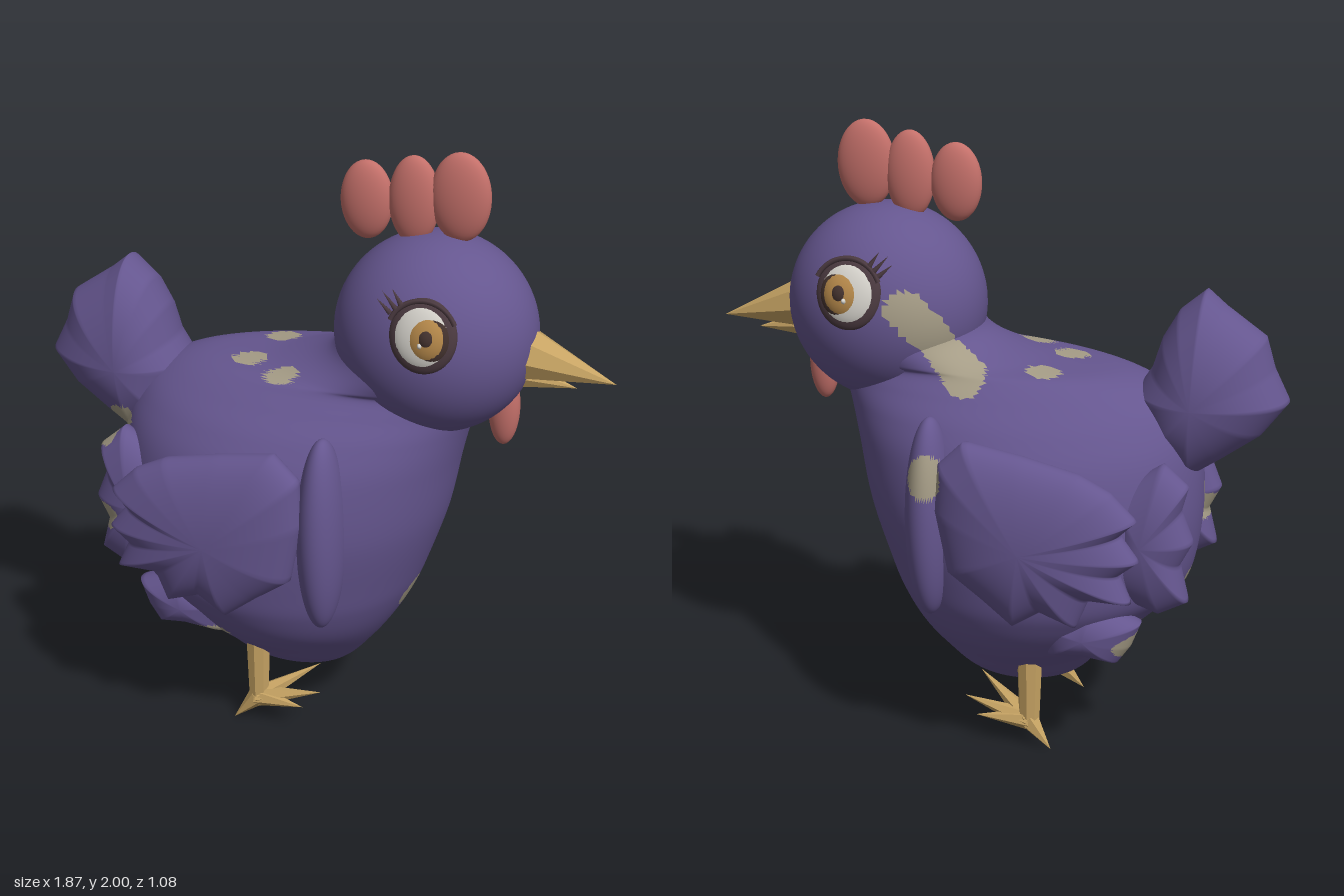
import * as THREE from 'three';

const mat = (name, color) => Object.assign(new THREE.MeshStandardMaterial({ color }), { name });
const V = (x, y, z) => new THREE.Vector3(x, y, z);

// Closed-around surface: u wraps, v runs from one end to the other
function grid(nu, nv, fn) {
  const pos = [], idx = [];
  for (let j = 0; j <= nv; j++) for (let i = 0; i < nu; i++) pos.push(...fn(i / nu, j / nv));
  for (let j = 0; j < nv; j++) for (let i = 0; i < nu; i++) {
    const a = j * nu + i, b = j * nu + (i + 1) % nu;
    idx.push(a, a + nu, b, b, a + nu, b + nu);
  }
  const g = new THREE.BufferGeometry();
  g.setAttribute('position', new THREE.Float32BufferAttribute(pos, 3));
  g.setIndex(idx);
  g.computeVertexNormals();
  return g;
}

// Rounded cushion inside an outline of x, y points (counterclockwise)
function pillow(outline, cx, cy, z, front, back) {
  const n = outline.length;
  return grid(n * 10, 40, (u, v) => {
    const t = u * n, k = Math.floor(t + 1e-6), f = t - k;
    const [p, q] = [outline[k % n], outline[(k + 1) % n]];
    const r = Math.sin(Math.PI * v), c = Math.cos(Math.PI * v);
    const x = p[0] + (q[0] - p[0]) * f, y = p[1] + (q[1] - p[1]) * f;
    return [cx + (x - cx) * r, cy + (y - cy) * r, z + c * (c > 0 ? front : back)];
  });
}

const ellipsoid = (x, y, z, rx, ry, rz, seg = 32) =>
  new THREE.SphereGeometry(1, seg, seg * 0.75).scale(rx, ry, rz).translate(x, y, z);

// Copy a geometry to the other side, keeping faces outward
function mirrorZ(g) {
  const m = g.clone();
  for (const k of ['position', 'normal']) {
    const a = m.attributes[k];
    for (let i = 0; i < a.count; i++) a.setZ(i, -a.getZ(i));
  }
  const ix = m.index.array;
  for (let i = 0; i < ix.length; i += 3) [ix[i], ix[i + 1]] = [ix[i + 1], ix[i]];
  return m;
}

// Pale plumage spots: centre, then reach in x, y, z
const spots = [
  [-0.19, 1.25, -0.13, 0.055, 0.15, 0.05], [-0.23, 1.25, 0.07, 0.055, 0.15, 0.05],
  [-0.09, 1.24, 0.17, 0.055, 0.15, 0.05], [0.1, 1.0, -0.44, 0.06, 0.07, 0.08],
  [0.33, 0.5, 0.04, 0.12, 0.055, 0.06], [-0.29, 0.385, 0.3, 0.065, 0.03, 0.2],
  [-0.64, 0.75, 0.24, 0.06, 0.06, 0.12], [-0.66, 1.01, 0.17, 0.06, 0.06, 0.12],
  [-0.66, 0.87, 0.1, 0.08, 0.04, 0.06], [-0.5, 0.45, -0.24, 0.12, 0.05, 0.1],
  [-0.62, 0.56, -0.02, 0.12, 0.06, 0.06],
];
for (let k = 0; k < 7; k++) {
  const t = k / 6;
  spots.push([0.22 - 0.19 * t, 1.47 - 0.22 * t, -0.26 + 0.05 * t, 0.06, 0.06, 0.1]);
}

// Sort triangles into plain and spotted material groups
function spotted(g) {
  const p = g.attributes.position, ix = g.index.array, plain = [], pale = [];
  for (let i = 0; i < ix.length; i += 3) {
    const tri = [ix[i], ix[i + 1], ix[i + 2]];
    const mean = f => tri.reduce((s, k) => s + p[f](k), 0) / 3;
    const x = mean('getX'), y = mean('getY'), z = mean('getZ');
    const hit = spots.some(s =>
      ((x - s[0]) / s[3]) ** 2 + ((y - s[1]) / s[4]) ** 2 + ((z - s[2]) / s[5]) ** 2 < 1);
    (hit ? pale : plain).push(...tri);
  }
  g.setIndex([...plain, ...pale]);
  g.addGroup(0, plain.length, 0);
  g.addGroup(plain.length, pale.length, 1);
  return g;
}

// Cone from a base point to a tip
function spike(a, b, r, sides) {
  const d = b.clone().sub(a), len = d.length();
  return new THREE.ConeGeometry(r, len, sides).translate(0, len / 2, 0)
    .applyQuaternion(new THREE.Quaternion().setFromUnitVectors(V(0, 1, 0), d.normalize()))
    .translate(a.x, a.y, a.z);
}

export function createModel() {
  const model = new THREE.Group();
  const plumage = mat('purple plumage', 0x65568f), pale = mat('pale spots', 0xa59c86);
  const horn = mat('beak and legs', 0xc6a363), red = mat('comb red', 0xc4706a);
  const white = mat('eye white', 0xd6d3cc), amber = mat('iris amber', 0xb5884a);
  const dark = mat('pupil brown', 0x43322e), lash = mat('lash brown', 0x4b3a40);
  horn.flatShading = true;
  const add = (name, g, m) => {
    const mesh = new THREE.Mesh(g, m);
    mesh.name = name;
    model.add(mesh);
  };
  const feathered = (name, g) => add(name, spotted(g), [plumage, pale]);
  const bothSides = (name, g, put) => {
    put(name + 'Left', g.clone());
    put(name + 'Right', mirrorZ(g));
  };

  // Body and neck: height, back x, front x, half width
  const rings = [
    [0.135, -0.1, -0.04, 0.01], [0.2, -0.28, 0.09, 0.13], [0.3, -0.38, 0.18, 0.24],
    [0.4, -0.48, 0.25, 0.34], [0.5, -0.58, 0.305, 0.4], [0.6, -0.65, 0.345, 0.43],
    [0.8, -0.68, 0.41, 0.45], [1.0, -0.67, 0.45, 0.42], [1.12, -0.63, 0.48, 0.36],
    [1.2, -0.56, 0.51, 0.29], [1.255, -0.42, 0.54, 0.24], [1.28, -0.15, 0.57, 0.24],
    [1.34, 0.02, 0.6, 0.25], [1.45, 0.08, 0.62, 0.25],
  ];
  const ends = new THREE.CatmullRomCurve3(rings.map(r => V(r[1], r[0], r[2])), false, 'catmullrom', 0.5);
  const widths = new THREE.CatmullRomCurve3(rings.map(r => V(r[3], 0, 0)), false, 'catmullrom', 0.5);
  feathered('body', grid(128, 120, (u, v) => {
    const e = ends.getPoint(v), w = widths.getPoint(v).x, a = u * Math.PI * 2;
    return [(e.x + e.z) / 2 + Math.cos(a) * (e.z - e.x) / 2, e.y, Math.sin(a) * w];
  }));
  feathered('head', ellipsoid(0.36, 1.42, 0, 0.32, 0.32, 0.29, 80));

  // Tail
  feathered('tail', pillow([
    [-0.46, 1.2], [-0.51, 1.28], [-0.54, 1.38], [-0.59, 1.47], [-0.67, 1.54], [-0.73, 1.49],
    [-0.86, 1.4], [-0.89, 1.3], [-0.94, 1.2], [-0.86, 1.09], [-0.74, 1.0], [-0.64, 0.93], [-0.5, 1.0],
  ], -0.66, 1.2, 0, 0.18, 0.18));

  // Wings with ragged trailing feathers, shoulders and rump feathers
  bothSides('wing', pillow([
    [0.07, 0.9], [0.06, 1.05], [-0.02, 1.13], [-0.2, 1.1], [-0.38, 1.06], [-0.48, 1.01],
    [-0.56, 0.93], [-0.51, 0.88], [-0.57, 0.8], [-0.51, 0.75], [-0.55, 0.66], [-0.42, 0.66],
    [-0.38, 0.56], [-0.27, 0.6], [-0.18, 0.54], [-0.08, 0.62], [0.03, 0.7],
  ], -0.22, 0.82, 0.43, 0.11, 0.12), feathered);
  bothSides('shoulder', ellipsoid(0.11, 0.84, 0.36, 0.075, 0.33, 0.11, 64), feathered);
  bothSides('rumpFeather', pillow([
    [-0.45, 0.95], [-0.6, 1.05], [-0.68, 0.98], [-0.66, 0.9], [-0.7, 0.8], [-0.66, 0.72],
    [-0.69, 0.6], [-0.6, 0.55], [-0.45, 0.6],
  ], -0.55, 0.8, 0.24, 0.1, 0.1), feathered);
  bothSides('thighFeather', pillow([
    [-0.2, 0.5], [-0.4, 0.58], [-0.55, 0.52], [-0.52, 0.44], [-0.48, 0.38], [-0.38, 0.39], [-0.25, 0.38],
  ], -0.38, 0.47, 0.27, 0.09, 0.1), feathered);

  // Comb and wattle
  [[0.13, 1.82, 0.083, 0.125], [0.28, 1.835, 0.08, 0.14], [0.425, 1.86, 0.095, 0.14]].forEach(([x, y, rx, ry]) =>
    add('combLobe', ellipsoid(x, y, 0, rx, ry, 0.042), red));
  add('wattle', ellipsoid(0.585, 1.195, 0, 0.05, 0.13, 0.04), red);

  // Beak
  add('upperBeak', spike(V(0.64, 1.385, 0), V(0.93, 1.32, 0), 0.088, 8), horn);
  add('lowerBeak', spike(V(0.6, 1.32, 0), V(0.81, 1.29, 0), 0.055, 8), horn);

  // Eyes: stacked lenses, with a lid line and lashes
  const lenses = [
    ['eyeRim', 0, 0, 0.105, 0.115, 0.032, lash], ['eyeWhite', 0, 0, 0.096, 0.105, 0.038, white],
    ['irisRim', 0.014, -0.002, 0.08, 0.089, 0.041, dark], ['iris', 0.014, -0.002, 0.074, 0.082, 0.045, amber],
    ['pupil', 0.018, 0, 0.043, 0.05, 0.049, dark], ['eyeGlint', 0.002, -0.022, 0.013, 0.016, 0.051, white],
  ];
  const tilt = g => g.rotateX(-0.2).translate(0.395, 1.515, 0.268);
  for (const [name, x, y, rx, ry, rz, m] of lenses)
    bothSides(name, tilt(ellipsoid(x, y, 0, rx, ry, rz)), (n, g) => add(n, g, m));
  const lid = new THREE.TorusGeometry(0.108, 0.008, 6, 24, 2.3).rotateZ(0.45).translate(0, 0, 0.018);
  bothSides('upperLid', tilt(lid), (n, g) => add(n, g, lash));
  [[-0.085, 0.075, -0.13, 0.125], [-0.07, 0.09, -0.1, 0.135], [-0.1, 0.06, -0.145, 0.1]].forEach(([x, y, tx, ty]) =>
    bothSides('eyelash', tilt(spike(V(x, y, 0.018), V(tx, ty, 0.022), 0.009, 5)), (n, g) => add(n, g, lash)));

  // Legs and clawed feet
  const ankle = V(-0.17, 0.09, 0.205);
  bothSides('leg', new THREE.CylinderGeometry(0.042, 0.034, 0.24, 8).translate(-0.17, 0.2, 0.2),
    (n, g) => add(n, g, horn));
  [[0.05, 0.145, 0.2], [0.02, 0.2, 0.11], [0.0, 0.1, 0.24], [-0.25, 0, 0.225]].forEach(t =>
    bothSides('toe', spike(ankle, V(...t), 0.036, 6), (n, g) => add(n, g, horn)));

  return model;
}
